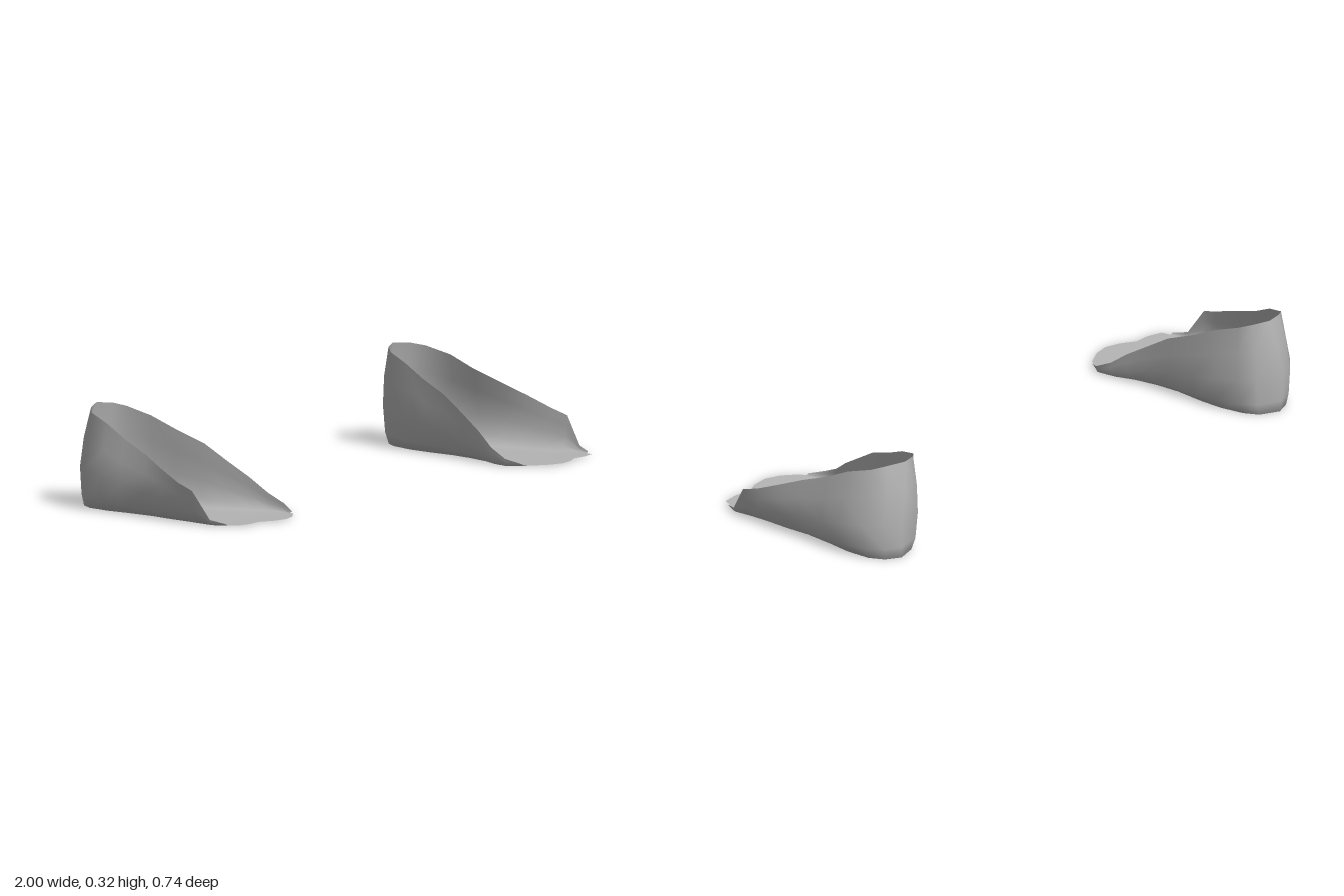
import * as THREE from 'three';
import { mergeVertices } from 'three/addons/utils/BufferGeometryUtils.js';

const lerp = THREE.MathUtils.lerp;

// Cross-sections from toe to heel:
// z, inner rim x, inner rim y, inner bulge x, inner base x, outer base x, outer bulge x, outer rim x, outer rim y
const SECTIONS = [
  [0.30, 0.615, 0.008, 0.62, 0.635, 0.945, 0.96, 0.965, 0.008],
  [0.25, 0.588, 0.025, 0.59, 0.60, 0.96, 0.982, 0.985, 0.02],
  [0.19, 0.595, 0.055, 0.595, 0.615, 0.955, 0.99, 1.0, 0.11],
  [0.13, 0.61, 0.10, 0.61, 0.645, 0.945, 0.985, 0.993, 0.13],
  [0.05, 0.627, 0.15, 0.63, 0.67, 0.935, 0.978, 0.975, 0.165],
  [-0.03, 0.64, 0.20, 0.643, 0.685, 0.92, 0.968, 0.95, 0.20],
  [-0.13, 0.66, 0.24, 0.655, 0.69, 0.915, 0.96, 0.93, 0.24],
  [-0.21, 0.68, 0.278, 0.668, 0.70, 0.915, 0.955, 0.915, 0.28],
  [-0.29, 0.705, 0.305, 0.70, 0.725, 0.90, 0.93, 0.89, 0.305],
  [-0.345, 0.735, 0.316, 0.735, 0.755, 0.87, 0.88, 0.85, 0.316],
  [-0.37, 0.79, 0.322, 0.825, 0.82, 0.82, 0.825, 0.79, 0.322],
];
// How far the wavy toe edge reaches past the first section, inner to outer
const TOE = [0.02, 0.055, 0.07, 0.06, 0.035, 0.04, 0.03];
const FLOOR = TOE.length;

// One wall from the rim down to just above the base
function wall(rimX, rimY, midX, baseX) {
  return [
    [rimX, rimY],
    [lerp(midX, rimX, 0.5), rimY * 0.7],
    [midX, rimY * 0.4],
    [lerp(midX, baseX, 0.35), rimY * 0.12],
  ];
}

function sectionPoints([z, xi, yi, mi, bi, bo, mo, xo, yo], row) {
  const floor = TOE.map((_, i) => [lerp(bi, bo, i / (FLOOR - 1)), 0]);
  const points = [...wall(xi, yi, mi, bi), ...floor, ...wall(xo, yo, mo, bo).reverse()];
  return points.map(([x, y], i) => {
    let pz = z;
    if (row === 0 && i >= 4 && i < 4 + FLOOR) pz += TOE[i - 4];
    // heel wall curls forward at its top and a little at its base
    if (z < -0.3) {
      const t = y / 0.322;
      pz += 0.025 * t ** 4 + 0.01 * (1 - t) ** 6;
    }
    return [x, row === 0 ? Math.max(y, 0.004) : y, pz];
  });
}

// Open shell skinned over the sections; side = 1 or -1 mirrors it
function shellGeometry(side) {
  const rows = SECTIONS.map(sectionPoints);
  const n = rows[0].length;
  const positions = rows.flat().flatMap(([x, y, z]) => [x * side, y, z]);
  const index = [];
  for (let r = 0; r < rows.length - 1; r++) {
    for (let i = 0; i < n - 1; i++) {
      const a = r * n + i, b = a + 1, c = a + n, d = c + 1;
      if (side > 0) index.push(a, b, c, b, d, c);
      else index.push(a, c, b, b, c, d);
    }
  }
  const geometry = new THREE.BufferGeometry();
  geometry.setAttribute('position', new THREE.Float32BufferAttribute(positions, 3));
  geometry.setIndex(index);
  const merged = mergeVertices(geometry, 1e-4);
  merged.computeVertexNormals();
  return merged;
}

export function createModel() {
  const group = new THREE.Group();
  group.name = 'insolePair';
  const grey = new THREE.MeshStandardMaterial({ color: 0xb4b4b4, side: THREE.DoubleSide });
  grey.name = 'grey';
  for (const [name, side] of [['leftInsole', 1], ['rightInsole', -1]]) {
    const mesh = new THREE.Mesh(shellGeometry(side), grey);
    mesh.name = name;
    group.add(mesh);
  }
  return group;
}
